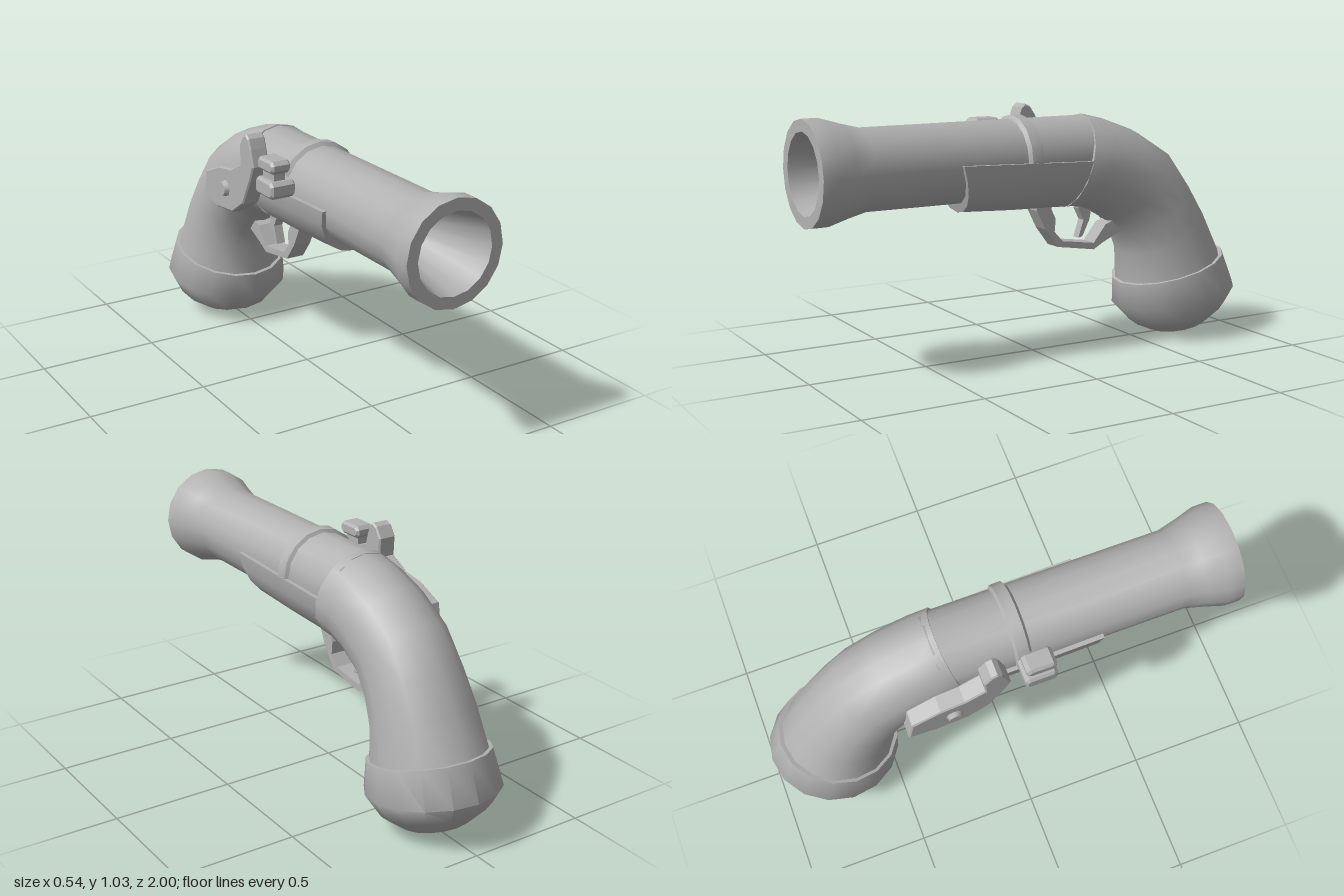
import * as THREE from 'three';
import { toCreasedNormals } from 'three/addons/utils/BufferGeometryUtils.js';

const gray = new THREE.MeshStandardMaterial({ color: 0xb2b2b2 });
gray.name = 'plain gray';

// Unit cross-sections: [x from -1 to 1, height from 0 to 1]
const fullOval = Array.from({ length: 16 }, (_, i) => {
  const a = (i / 16) * Math.PI * 2;
  return [Math.sin(a), 0.5 + 0.5 * Math.cos(a)];
});
const lowerHalf = Array.from({ length: 11 }, (_, i) => {
  const a = (i / 10) * Math.PI;
  return [Math.cos(a), 1 - Math.sin(a)];
});

// Skin a cross-section over stations [zTop, yTop, zBottom, yBottom, halfWidth]
function loft(stations, section) {
  const n = section.length, pos = [], index = [];
  for (const [zt, yt, zb, yb, w] of stations)
    for (const [u, v] of section) pos.push(u * w, yb + (yt - yb) * v, zb + (zt - zb) * v);
  for (let i = 0; i < stations.length - 1; i++)
    for (let j = 0; j < n; j++) {
      const k = (j + 1) % n;
      const a = i * n + j, b = i * n + k, c = b + n, d = a + n;
      index.push(a, b, d, b, c, d);
    }
  const last = (stations.length - 1) * n;
  for (let j = 1; j < n - 1; j++) {
    index.push(0, j + 1, j);
    index.push(last, last + j, last + j + 1);
  }
  const g = new THREE.BufferGeometry();
  g.setAttribute('position', new THREE.Float32BufferAttribute(pos, 3));
  g.setIndex(index);
  return toCreasedNormals(g, 0.9);
}

// Side profile given as [z, y] pairs, extruded from xMin to xMax
function sidePlate(points, xMin, xMax, bevel = 0) {
  const shape = new THREE.Shape(points.map(([z, y]) => new THREE.Vector2(z, y)));
  const g = new THREE.ExtrudeGeometry(shape, {
    depth: xMax - xMin - 2 * bevel, bevelEnabled: bevel > 0, bevelSegments: 1,
    bevelSize: bevel, bevelThickness: bevel, bevelOffset: -bevel, curveSegments: 1,
  });
  g.rotateY(-Math.PI / 2);
  g.translate(xMax - bevel, 0, 0);
  return g;
}

// Rectangle with clipped corners, as a side profile
function clippedBox(z0, z1, y0, y1, c) {
  return [[z0 + c, y0], [z1 - c, y0], [z1, y0 + c], [z1, y1 - c],
    [z1 - c, y1], [z0 + c, y1], [z0, y1 - c], [z0, y0 + c]];
}

// Profile [radius, z] turned around the barrel axis
function turned(profile) {
  const g = new THREE.LatheGeometry(profile.map(([r, z]) => new THREE.Vector2(r, z)), 16);
  g.rotateX(Math.PI / 2);
  g.translate(0, 0.82, 0);
  return toCreasedNormals(g, 0.7);
}

export function createModel() {
  const model = new THREE.Group();
  model.name = 'pistol';
  const add = (name, geometry) => {
    const mesh = new THREE.Mesh(geometry, gray);
    mesh.name = name;
    model.add(mesh);
    return mesh;
  };

  // Barrel with flared muzzle and tapering bore
  add('barrel', turned([[0, -0.26], [0.165, -0.26], [0.165, 0.77], [0.185, 0.85],
    [0.21, 0.935], [0.21, 1], [0.162, 1], [0.075, 0.6], [0, 0.6]]));
  add('barrelBand', turned([[0.16, 0.04], [0.179, 0.052], [0.181, 0.1], [0.16, 0.115]]));

  // Stock: open cradle under the barrel, then the curved grip
  add('foreStock', loft([
    [0.41, 0.83, 0.35, 0.62, 0.182],
    [0.1, 0.82, 0.1, 0.608, 0.182],
    [-0.19, 0.81, -0.14, 0.602, 0.181],
  ], lowerHalf));
  add('grip', loft([
    [-0.235, 0.99, -0.13, 0.6, 0.183],
    [-0.34, 0.965, -0.2, 0.6, 0.186],
    [-0.49, 0.91, -0.28, 0.575, 0.188],
    [-0.65, 0.81, -0.36, 0.53, 0.191],
    [-0.76, 0.66, -0.42, 0.46, 0.2],
    [-0.84, 0.53, -0.455, 0.37, 0.212],
    [-0.925, 0.36, -0.46, 0.23, 0.23],
  ], fullOval));
  add('pommel', loft([
    [-0.94, 0.37, -0.445, 0.24, 0.242],
    [-1.0, 0.22, -0.45, 0.13, 0.267],
    [-0.96, 0.15, -0.54, 0.04, 0.22],
    [-0.88, 0.06, -0.62, 0.006, 0.14],
    [-0.8, 0.012, -0.7, 0, 0.06],
  ], fullOval));

  // Trigger and guard
  add('triggerGuard', sidePlate([
    [0, 0.62], [0, 0.6], [-0.04, 0.52], [-0.1, 0.44], [-0.28, 0.412], [-0.33, 0.44],
    [-0.42, 0.48], [-0.38, 0.53], [-0.34, 0.515], [-0.28, 0.44], [-0.125, 0.462],
    [-0.085, 0.505], [-0.09, 0.56], [-0.07, 0.6], [-0.07, 0.62],
  ], -0.04, 0.04));
  add('trigger', sidePlate([
    [-0.21, 0.62], [-0.215, 0.59], [-0.24, 0.54], [-0.215, 0.465], [-0.235, 0.47],
    [-0.27, 0.54], [-0.285, 0.62],
  ], -0.02, 0.02));

  // Lock on the right side: hammer, its pivot bolt and the striker block
  add('hammer', sidePlate([
    [-0.44, 0.66], [-0.33, 0.645], [-0.19, 0.66], [-0.1, 0.72], [-0.04, 0.83],
    [-0.01, 0.9], [-0.03, 0.97], [-0.045, 1.01], [-0.065, 1.025], [-0.09, 1.015],
    [-0.12, 0.97], [-0.115, 0.89], [-0.2, 0.845], [-0.3, 0.83], [-0.42, 0.78],
  ], -0.248, -0.17, 0.006));
  const bolt = add('hammerBolt', new THREE.CylinderGeometry(0.028, 0.04, 0.03, 8));
  bolt.geometry.rotateZ(Math.PI / 2);
  bolt.position.set(-0.252, 0.75, -0.245);
  add('strikerBase', sidePlate(clippedBox(0.045, 0.18, 0.82, 0.89, 0.015), -0.27, -0.16, 0.01));
  add('strikerPost', sidePlate(clippedBox(0.07, 0.155, 0.87, 0.94, 0.01), -0.245, -0.195));
  add('strikerCap', sidePlate(clippedBox(0.05, 0.175, 0.92, 0.972, 0.015), -0.263, -0.178, 0.01));

  return model;
}
